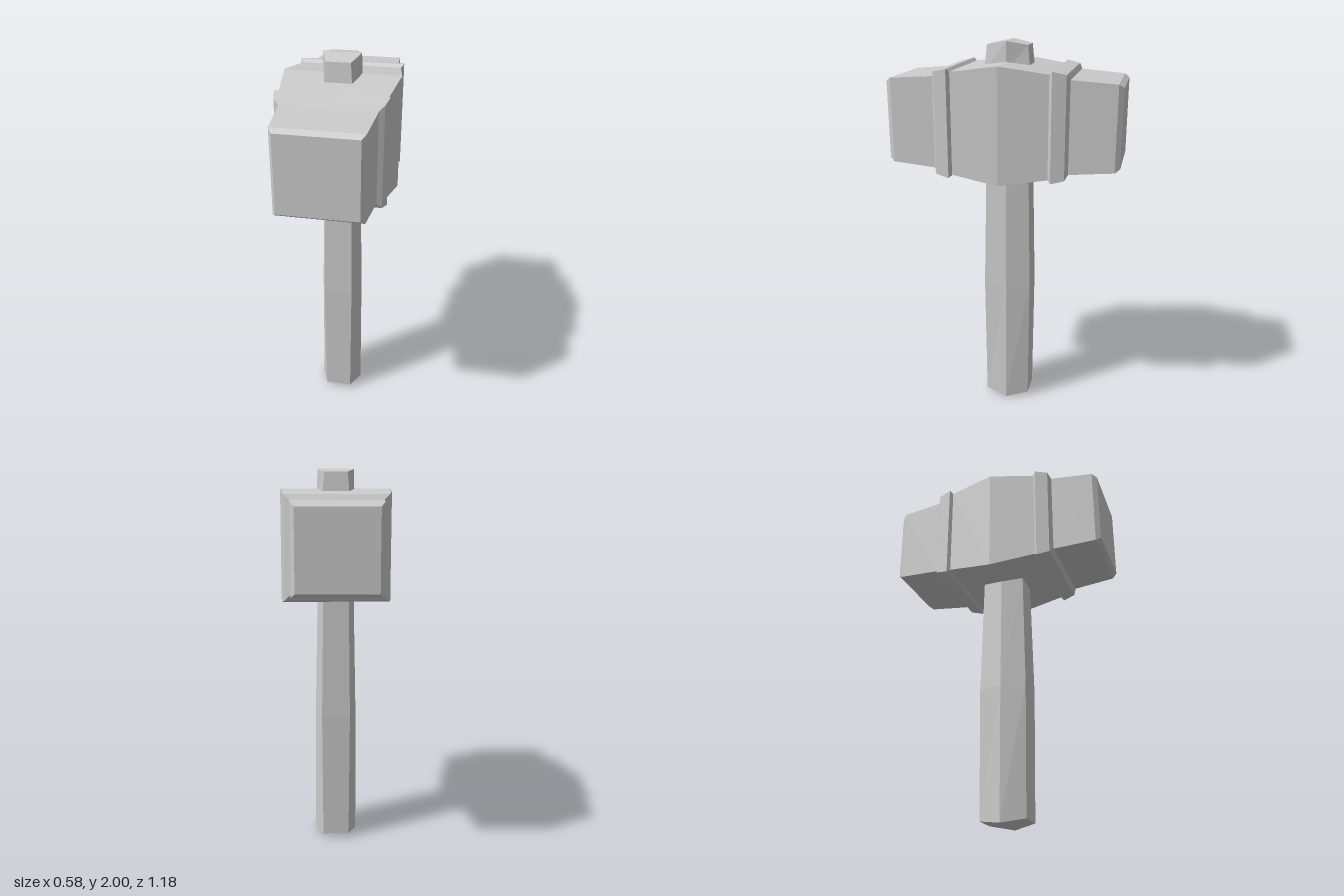
import * as THREE from 'three';

// Skin a stack of equal-sized rings (counter-clockwise seen from the far end) and cap both ends.
function loft(name, rings, material) {
  const pos = [];
  const tri = (...pts) => pts.forEach((p) => pos.push(...p));
  const n = rings[0].length;
  for (let r = 0; r < rings.length - 1; r++) {
    const a = rings[r], b = rings[r + 1];
    for (let i = 0; i < n; i++) {
      const j = (i + 1) % n;
      tri(a[i], a[j], b[j]);
      tri(a[i], b[j], b[i]);
    }
  }
  const first = rings[0], last = rings[rings.length - 1];
  for (let i = 1; i < n - 1; i++) {
    tri(first[0], first[i + 1], first[i]);
    tri(last[0], last[i], last[i + 1]);
  }
  const geometry = new THREE.BufferGeometry();
  geometry.setAttribute('position', new THREE.Float32BufferAttribute(pos, 3));
  geometry.computeVertexNormals();
  const mesh = new THREE.Mesh(geometry, material);
  mesh.name = name;
  return mesh;
}

const HEAD_Y = 1.61;

// Square cross-section of the head
const squareRing = ([z, h]) =>
  [[1, 1], [-1, 1], [-1, -1], [1, -1]].map(([sx, sy]) => [sx * h, HEAD_Y + sy * h, z]);

// Hexagonal cross-section of the handle; the side corners sit at ySide, the flats at yFlat
const hexRing = ([ySide, yFlat, side, flat, depth]) => [
  [side, ySide, 0], [flat, yFlat, -depth], [-flat, yFlat, -depth],
  [-side, ySide, 0], [-flat, yFlat, depth], [flat, yFlat, depth],
];

export function createModel() {
  const group = new THREE.Group();
  group.name = 'mallet';
  const material = new THREE.MeshStandardMaterial({ color: 0xcccccc, flatShading: true });

  // Head: bulged middle, raised band, tapered end and bevelled face, as [z, half size]
  const half = [
    [0.243, 0.255], [0.258, 0.27], [0.325, 0.255],
    [0.34, 0.229], [0.565, 0.213], [0.59, 0.195],
  ];
  const profile = [
    ...half.map(([z, h]) => [-z, h]).reverse(),
    [0, 0.29],
    ...half,
  ];
  group.add(loft('head', profile.map(squareRing), material));

  // Handle: runs through the head and ends in ridged tips
  const handle = [
    [0, 0.02, 0.113, 0.07, 0.12],
    [0.7, 0.7, 0.11, 0.075, 0.126],
    [1.33, 1.33, 0.097, 0.067, 0.113],
    [1.85, 1.85, 0.098, 0.07, 0.117],
    [2, 1.98, 0.095, 0.06, 0.104],
  ];
  group.add(loft('handle', handle.map(hexRing), material));

  return group;
}
